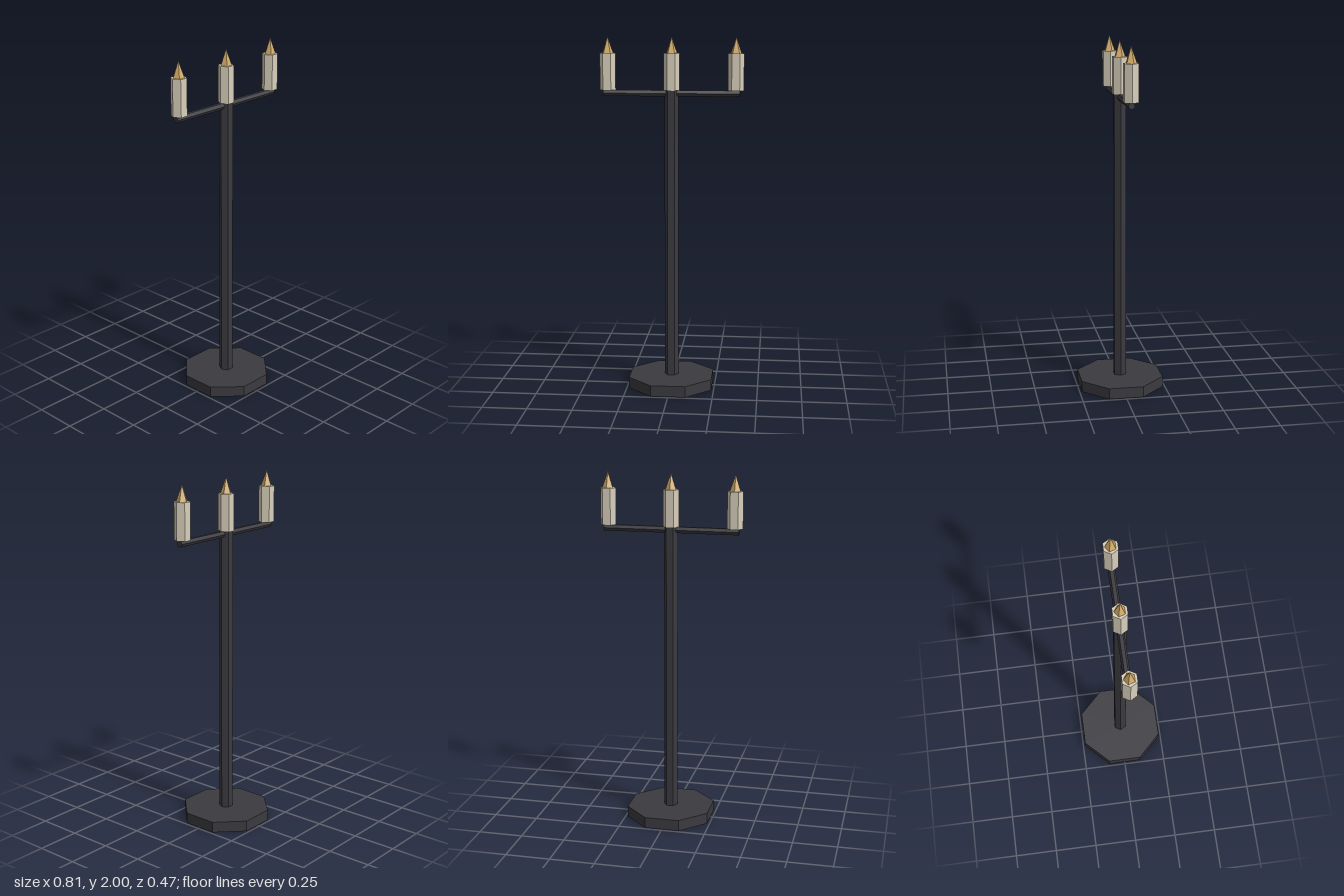
import * as THREE from 'three';

const material = (name, color) => {
  const m = new THREE.MeshStandardMaterial({ color, flatShading: true });
  m.name = name;
  return m;
};

export function createModel() {
  const group = new THREE.Group();
  group.name = 'candelabra';
  const iron = material('dark iron', 0x3a3a40);
  const wax = material('pale wax', 0xd9d0bc);
  const fire = material('flame gold', 0xd4ac68);

  // Upright faceted column from y0 to y1; turn sets where its corners point
  const column = (name, mat, rTop, rBottom, y0, y1, sides, turn, x = 0) => {
    const geo = new THREE.CylinderGeometry(rTop, rBottom, y1 - y0, sides);
    geo.rotateY(turn);
    const mesh = new THREE.Mesh(geo, mat);
    mesh.name = name;
    mesh.position.set(x, (y0 + y1) / 2, 0);
    group.add(mesh);
    return mesh;
  };

  // Octagonal foot and hexagonal pole
  column('base', iron, 0.256, 0.256, 0, 0.063, 8, Math.PI / 8);
  column('pole', iron, 0.039, 0.039, 0.063, 1.705, 6, Math.PI / 6);

  // Hexagonal crossbar laid along x
  const arm = new THREE.Mesh(new THREE.CylinderGeometry(0.0195, 0.0195, 0.764, 6), iron);
  arm.name = 'crossArm';
  arm.rotation.z = Math.PI / 2;
  arm.position.y = 1.688;
  group.add(arm);

  // Three candles with five-sided flames
  [['right', -0.358], ['centre', 0], ['left', 0.358]].forEach(([side, x]) => {
    column(side + 'Candle', wax, 0.0445, 0.0445, 1.705, 1.91, 6, Math.PI / 6, x);
    column(side + 'Flame', fire, 0, 0.032, 1.91, 2, 5, Math.PI, x);
  });

  return group;
}
